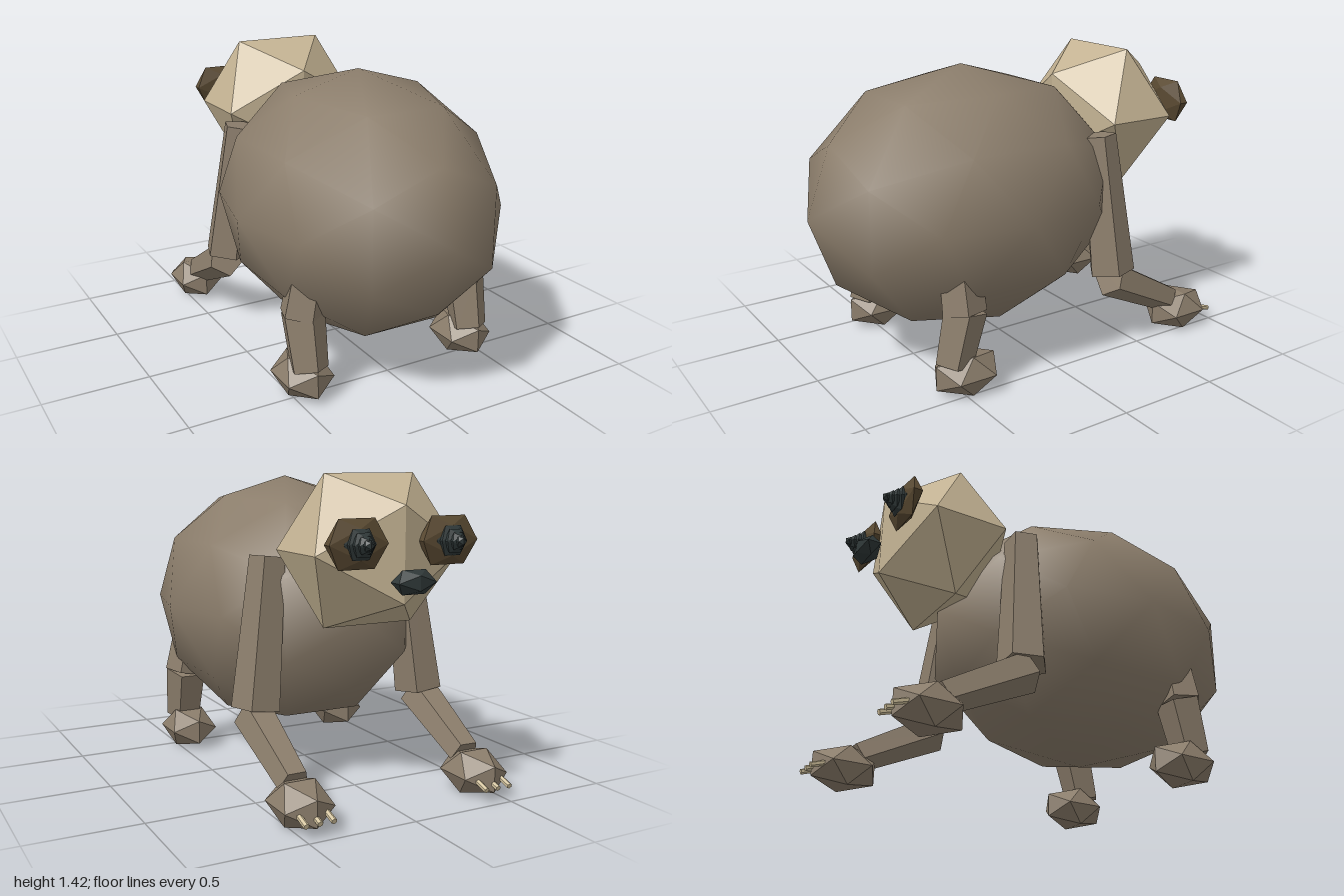
import * as THREE from 'three';

const mat = (name, color) => Object.assign(new THREE.MeshStandardMaterial({ color }), { name });

export function createModel() {
  const fur = mat('fur', 0x8b7d6b);
  const cream = mat('cream', 0xc4b393);
  const patch = mat('eyePatch', 0x5a4a32);
  const dark = mat('dark', 0x2f3838);
  const claw = mat('claw', 0xd2c29d);
  const group = new THREE.Group();
  group.name = 'animal';

  // Icosahedron stretched to the given radii
  function blob(name, material, pos, radii, detail = 0, parent = group) {
    const mesh = new THREE.Mesh(new THREE.IcosahedronGeometry(1, detail), material);
    mesh.name = name;
    mesh.position.set(...pos);
    mesh.scale.set(...radii);
    parent.add(mesh);
    return mesh;
  }

  // Faceted tapered limb running from point a to point b
  function limb(name, material, a, b, ra, rb, parent, sides = 5) {
    const from = new THREE.Vector3(...a), to = new THREE.Vector3(...b);
    const axis = from.clone().sub(to);
    const geo = new THREE.CylinderGeometry(ra, rb, axis.length(), sides).toNonIndexed();
    geo.computeVertexNormals();
    const mesh = new THREE.Mesh(geo, material);
    mesh.name = name;
    mesh.position.copy(from).add(to).multiplyScalar(0.5);
    mesh.quaternion.setFromUnitVectors(new THREE.Vector3(0, 1, 0), axis.normalize());
    parent.add(mesh);
  }

  // Body, head and nose
  blob('body', fur, [0, 0.78, 0.21], [0.62, 0.62, 0.79], 1);
  blob('head', cream, [0, 1.097, -0.6], [0.42, 0.385, 0.335]);
  blob('nose', dark, [0, 0.995, -0.95], [0.106, 0.059, 0.059]);

  for (const [side, s] of [['left', 1], ['right', -1]]) {
    // Eye: flat patch with a stack of shrinking dark layers
    const eye = new THREE.Group();
    eye.name = side + 'Eye';
    group.add(eye);
    blob('eyePatch', patch, [s * 0.22, 1.15, -0.87], [0.16, 0.12, 0.041], 0, eye);
    [0.088, 0.073, 0.057, 0.041, 0.025].forEach((r, i) =>
      blob('eyeLayer', dark, [s * 0.22, 1.15, -0.886 - i * 0.018], [r, r, 0.025], 0, eye));

    // Front leg with paw and three claws
    const front = new THREE.Group();
    front.name = side + 'Arm';
    group.add(front);
    limb('upperArm', fur, [s * 0.35, 1.06, -0.33], [s * 0.43, 0.39, -0.37], 0.085, 0.115, front);
    limb('forearm', fur, [s * 0.44, 0.36, -0.36], [s * 0.435, 0.16, -0.745], 0.095, 0.072, front);
    blob('frontPaw', fur, [s * 0.44, 0.097, -0.805], [0.135, 0.11, 0.178], 0, front);
    for (const dx of [-0.062, 0, 0.062])
      limb('claw', claw, [s * 0.44 + dx, 0.1, -0.88], [s * 0.44 + dx, 0.068, -0.983], 0.013, 0.013, front, 6);

    // Hind leg with foot
    const hind = new THREE.Group();
    hind.name = side + 'HindLeg';
    group.add(hind);
    limb('thigh', fur, [s * 0.4, 0.62, 0.48], [s * 0.445, 0.39, 0.48], 0.095, 0.105, hind);
    limb('shin', fur, [s * 0.44, 0.4, 0.475], [s * 0.44, 0.15, 0.535], 0.105, 0.09, hind);
    blob('hindFoot', fur, [s * 0.44, 0.097, 0.47], [0.135, 0.11, 0.178], 0, hind);
  }
  return group;
}
